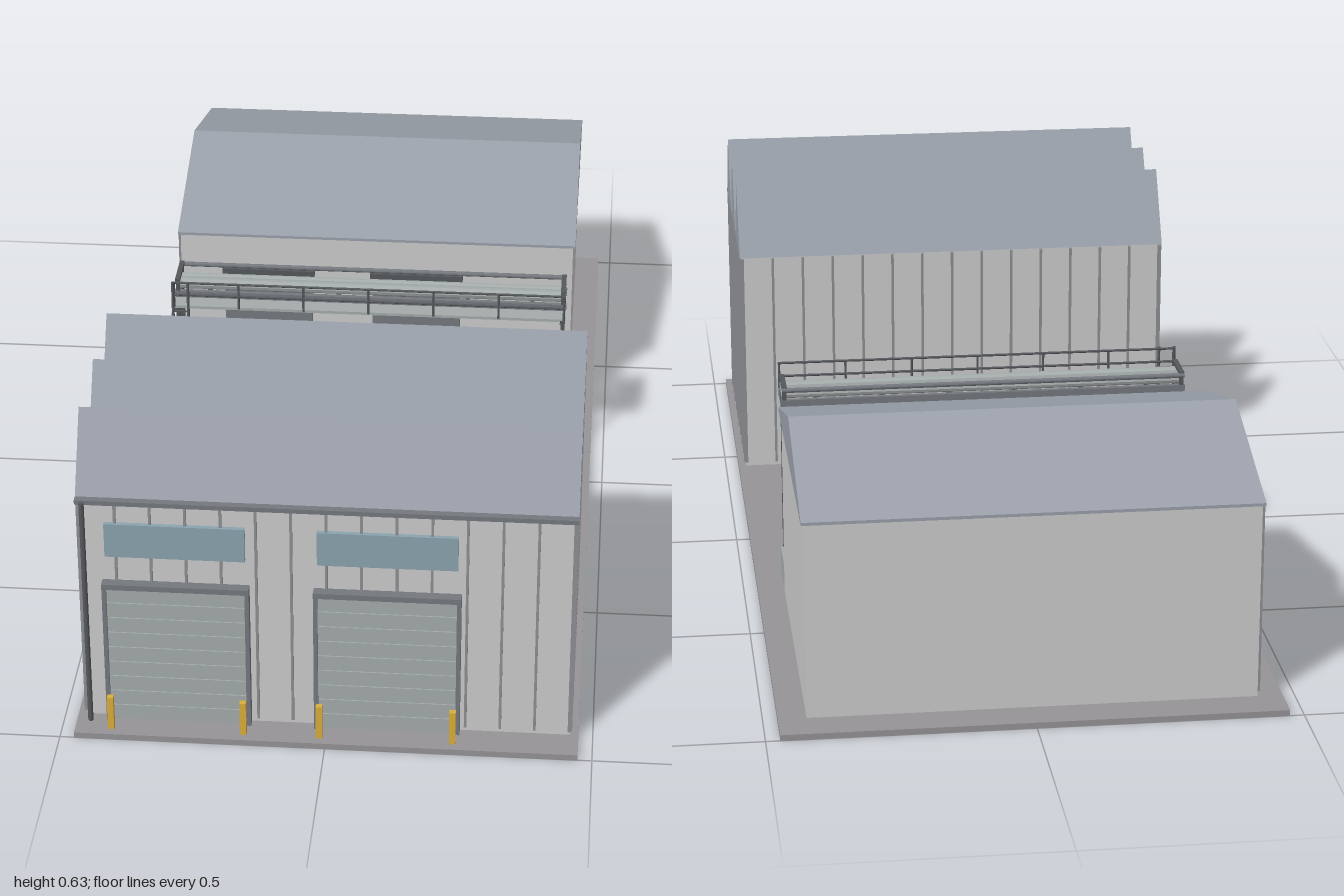
import * as THREE from 'three';

const mat = (color) => new THREE.MeshStandardMaterial({ color, flatShading: true });

export function createModel() {
  const root = new THREE.Group();
  root.name = 'industrialYard';
  const wall = mat(0xc2c2c6), roof = mat(0x9aa0aa), concrete = mat(0x959396), dark = mat(0x55585c),
    rib = mat(0x8e8f93), door = mat(0xa4abab), glass = mat(0x8aa3ae), yellow = mat(0xd9ae3c), steel = mat(0x74787e);

  const group = (name, parent = root) => {
    const g = new THREE.Group();
    g.name = name;
    parent.add(g);
    return g;
  };
  // Box given by its limits on each axis
  const box = (parent, name, m, x0, x1, y0, y1, z0, z1) => {
    const mesh = new THREE.Mesh(new THREE.BoxGeometry(x1 - x0, y1 - y0, z1 - z0), m);
    mesh.position.set((x0 + x1) / 2, (y0 + y1) / 2, (z0 + z1) / 2);
    mesh.name = name;
    parent.add(mesh);
    return mesh;
  };
  // Round bar along an axis
  const bar = (parent, name, m, r, len, x, y, z, axis = 'x') => {
    const geo = new THREE.CylinderGeometry(r, r, len, 10);
    if (axis === 'x') geo.rotateZ(Math.PI / 2);
    if (axis === 'z') geo.rotateX(Math.PI / 2);
    const mesh = new THREE.Mesh(geo, m);
    mesh.position.set(x, y, z);
    mesh.name = name;
    parent.add(mesh);
  };
  // Solid roof: a (z, y) outline swept from x0 to x1
  const roofPrism = (parent, pts, x0, x1) => {
    const shape = new THREE.Shape(pts.map(([z, y]) => new THREE.Vector2(z, y)));
    const geo = new THREE.ExtrudeGeometry(shape, { depth: x1 - x0, bevelEnabled: false });
    geo.rotateY(-Math.PI / 2).translate(x1, 0, 0);
    const mesh = new THREE.Mesh(geo, roof);
    mesh.name = 'roof';
    parent.add(mesh);
  };

  box(root, 'groundSlab', concrete, -0.473, 0.473, 0, 0.011, -1, 1);

  // Workshop with a sawtooth roof
  const shop = group('workshop');
  box(shop, 'walls', wall, -0.457, 0.457, 0.011, 0.49, 0.412, 0.935);
  roofPrism(shop, [[0.405, 0.49], [0.94, 0.49], [0.854, 0.635], [0.765, 0.492],
    [0.675, 0.635], [0.585, 0.492], [0.495, 0.635]], -0.461, 0.461);

  // Cladding ribs on all four walls
  for (let i = 0; i < 15; i++) {
    const x = -0.455 + i * 0.065;
    box(shop, 'frontRib', rib, x - 0.0025, x + 0.0025, 0.02, 0.487, 0.934, 0.94);
    box(shop, 'backRib', rib, x - 0.0025, x + 0.0025, 0.02, 0.487, 0.406, 0.413);
  }
  for (let i = 0; i < 10; i++) {
    const z = 0.413 + i * 0.058;
    for (const s of [-1, 1]) {
      const x = s * 0.458;
      box(shop, 'sideRib', rib, x - 0.003, x + 0.003, 0.02, 0.487, z - 0.0025, z + 0.0025);
    }
  }

  // Roller doors, windows and bollards
  for (const x of [-0.28, 0.113]) {
    const bay = group('doorBay', shop);
    for (const s of [-1, 1]) {
      box(bay, 'doorJamb', steel, x + s * 0.133 - 0.004, x + s * 0.133 + 0.004, 0.011, 0.315, 0.935, 0.953);
      box(bay, 'bollard', yellow, x + s * 0.125 - 0.006, x + s * 0.125 + 0.006, 0.011, 0.081, 0.971, 0.983);
    }
    box(bay, 'doorLintel', steel, x - 0.137, x + 0.137, 0.304, 0.315, 0.935, 0.955);
    box(bay, 'doorBacking', dark, x - 0.13, x + 0.13, 0.011, 0.305, 0.935, 0.943);
    for (let i = 0; i < 9; i++) {
      const y = 0.011 + i * 0.0326;
      box(bay, 'doorSlat', door, x - 0.13, x + 0.13, y, y + 0.031, 0.94, 0.947);
    }
    box(bay, 'window', glass, x - 0.13, x + 0.13, 0.37, 0.44, 0.935, 0.944);
  }
  box(shop, 'gutter', steel, -0.461, 0.461, 0.485, 0.494, 0.936, 0.952);
  bar(shop, 'downpipe', dark, 0.005, 0.48, -0.447, 0.252, 0.957, 'y');

  // Warehouse with a plain gable roof
  const store = group('warehouse');
  box(store, 'walls', wall, -0.425, 0.42, 0.011, 0.396, -0.93, -0.315);
  roofPrism(store, [[-0.937, 0.394], [-0.307, 0.394], [-0.307, 0.4], [-0.622, 0.492], [-0.937, 0.4]], -0.43, 0.425);
  for (let i = 0; i < 11; i++) {
    const z = -0.925 + i * 0.0605;
    box(store, 'sideRib', rib, -0.43, -0.424, 0.02, 0.392, z - 0.0025, z + 0.0025);
  }

  // Loading dock with its doors and edge strips
  const dock = group('loadingDock');
  box(dock, 'dockPlatform', door, -0.425, 0.42, 0.011, 0.066, -0.316, -0.215);
  for (const x of [-0.235, 0.085]) {
    box(dock, 'dockDoor', steel, x - 0.095, x + 0.095, 0.066, 0.305, -0.316, -0.307);
    box(dock, 'dockDoorLintel', dark, x - 0.1, x + 0.1, 0.305, 0.317, -0.316, -0.303);
    box(dock, 'edgeStrip', yellow, x - 0.085, x + 0.085, 0.05, 0.067, -0.217, -0.213);
  }

  // Pipe bridge: columns, cross beams, long beams and pipes
  const bridge = group('pipeBridge');
  for (const x of [-0.405, 0.405]) {
    for (const z of [-0.105, -0.174])
      box(bridge, 'column', dark, x - 0.004, x + 0.004, 0.011, 0.395, z - 0.004, z + 0.004);
    box(bridge, 'crossBeam', dark, x - 0.005, x + 0.005, 0.343, 0.353, -0.18, -0.062);
    box(bridge, 'topBeam', dark, x - 0.005, x + 0.005, 0.39, 0.397, -0.183, -0.098);
  }
  for (const z of [-0.105, -0.174])
    box(bridge, 'longBeam', steel, -0.412, 0.412, 0.353, 0.368, z - 0.005, z + 0.005);
  bar(bridge, 'largePipe', door, 0.012, 0.82, 0, 0.377, -0.122);
  bar(bridge, 'smallPipe', door, 0.009, 0.82, 0, 0.374, -0.155);
  bar(bridge, 'thinPipe', steel, 0.005, 0.82, 0, 0.39, -0.182);
  for (let i = 0; i < 6; i++) {
    const x = -0.34 + i * 0.136;
    box(bridge, 'pipeSupport', dark, x - 0.004, x + 0.004, 0.353, 0.362, -0.176, -0.104);
  }

  // Walkway and handrail
  box(bridge, 'walkway', door, -0.412, 0.412, 0.348, 0.354, -0.1, -0.062);
  for (const y of [0.38, 0.408]) bar(bridge, 'handrail', dark, 0.0025, 0.82, 0, y, -0.062);
  for (let i = 0; i < 7; i++) bar(bridge, 'railPost', dark, 0.0025, 0.058, -0.408 + i * 0.136, 0.38, -0.062, 'y');

  // Access ladder
  const ladder = group('ladder');
  for (const x of [-0.41, -0.378]) bar(ladder, 'ladderRail', dark, 0.003, 0.4, x, 0.211, -0.058, 'y');
  for (let i = 0; i < 12; i++) bar(ladder, 'rung', dark, 0.002, 0.032, -0.394, 0.035 + i * 0.028, -0.058);

  return root;
}
